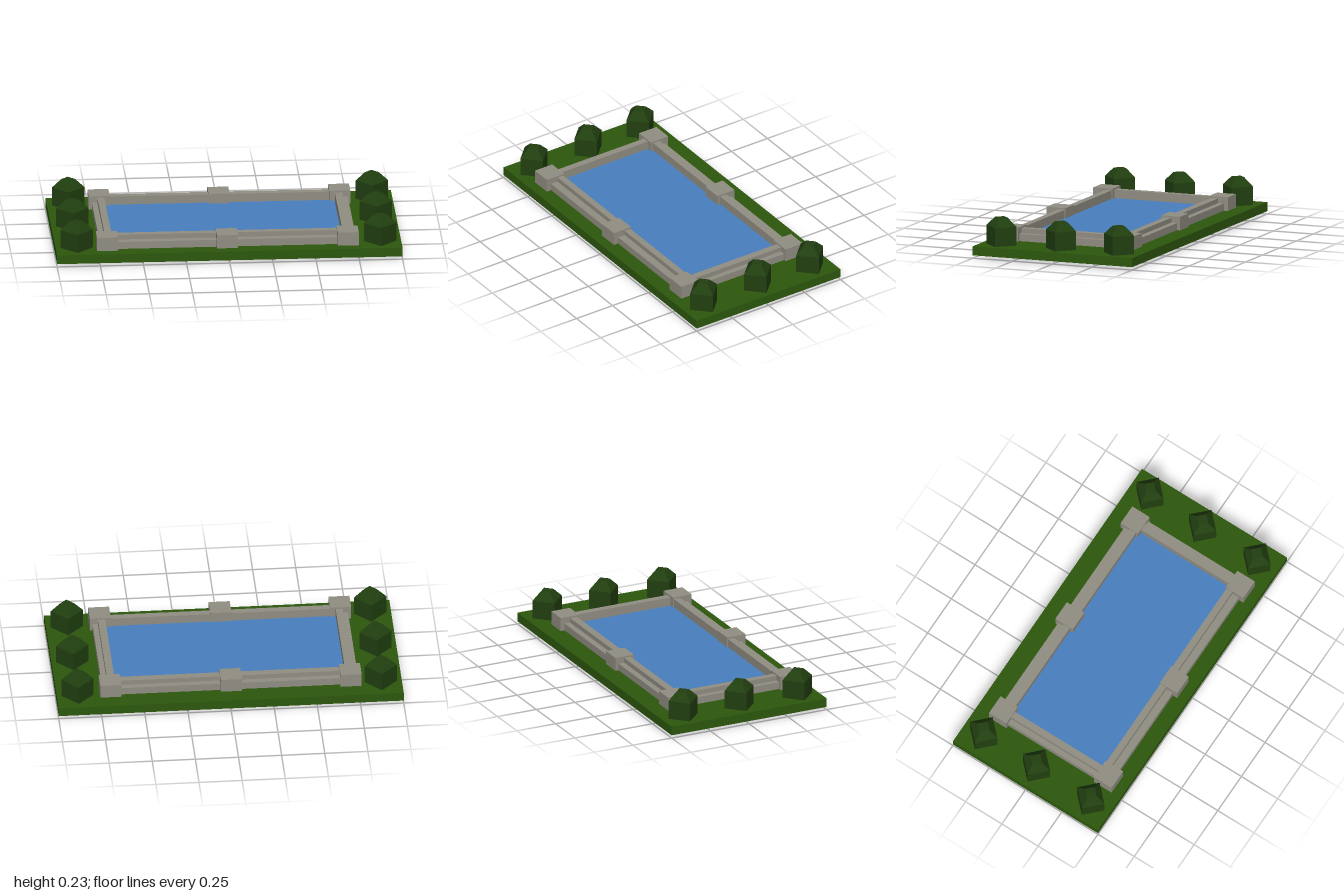
import * as THREE from 'three';

const material = (name, color) => {
  const m = new THREE.MeshStandardMaterial({ color, flatShading: true, side: THREE.DoubleSide });
  m.name = name;
  return m;
};

// Box spanning two corners, hollow underneath (bottom face left out)
function openBox(x0, x1, y0, y1, z0, z1) {
  const g = new THREE.BoxGeometry(x1 - x0, y1 - y0, z1 - z0);
  g.setIndex(Array.from(g.index.array).filter((_, i) => i < 18 || i >= 24));
  g.clearGroups();
  return g.translate((x0 + x1) / 2, (y0 + y1) / 2, (z0 + z1) / 2);
}

// Kerb with a tall inner half and a lower outer ledge; profile x points outward
function kerbGeometry(length, width, step) {
  const y0 = 0.06, ledge = 0.112, top = 0.14;
  const s = new THREE.Shape([
    [0, y0], [width, y0], [width, ledge], [step, ledge], [step, top], [0, top],
  ].map(([x, y]) => new THREE.Vector2(x, y)));
  return new THREE.ExtrudeGeometry(s, { depth: length, bevelEnabled: false }).translate(0, 0, -length / 2);
}

export function createModel() {
  const grass = material('grass green', 0x2d580d);
  const stone = material('stone grey', 0x918d83);
  const water = material('water blue', 0x4880bf);
  const leaf = material('hedge green', 0x213f10);

  const model = new THREE.Group();
  model.name = 'gardenPool';
  const add = (name, geometry, mat, x = 0, y = 0, z = 0, turn = 0) => {
    const mesh = new THREE.Mesh(geometry, mat);
    mesh.name = name;
    mesh.position.set(x, y, z);
    mesh.rotation.y = turn;
    model.add(mesh);
    return mesh;
  };

  // Lawn slab
  add('lawn', openBox(-1, 1, 0.017, 0.07, -0.5, 0.5), grass);

  // Water surface
  add('waterSurface', new THREE.PlaneGeometry(1.335, 0.63).rotateX(-Math.PI / 2), water, -0.0075, 0.09, 0.0125);

  // Stepped kerbs around the water
  const half = Math.PI / 2;
  add('frontKerb', kerbGeometry(1.34, 0.085, 0.04), stone, -0.005, 0, 0.325, -half);
  add('backKerb', kerbGeometry(1.34, 0.08, 0.044), stone, -0.005, 0, -0.3, half);
  add('leftKerb', kerbGeometry(0.65, 0.075, 0.043), stone, 0.661, 0, 0.015);
  add('rightKerb', kerbGeometry(0.65, 0.072, 0.04), stone, -0.674, 0, 0.015, Math.PI);

  // Hollow stone posts passing through the lawn
  for (const x of [-0.703, -0.009, 0.69]) {
    for (const z of [-0.345, 0.38]) {
      const zc = z < 0 && x > -0.1 && x < 0.1 ? -0.34 : z;
      add('post', openBox(-0.061, 0.061, 0, 0.15, -0.06, 0.06), stone, x, 0, zc);
    }
  }

  // Clipped hedges: four-sided, corner-on, with tapered tops
  const profile = [[0.094, 0.04], [0.094, 0.18], [0.04, 0.23], [0, 0.23]]
    .map(([r, y]) => new THREE.Vector2(r, y));
  const hedge = new THREE.LatheGeometry(profile, 4);
  for (const x of [-0.878, 0.88]) {
    for (const z of [-0.367, -0.004, 0.371]) add('hedge', hedge, leaf, x, 0, z);
  }

  return model;
}
